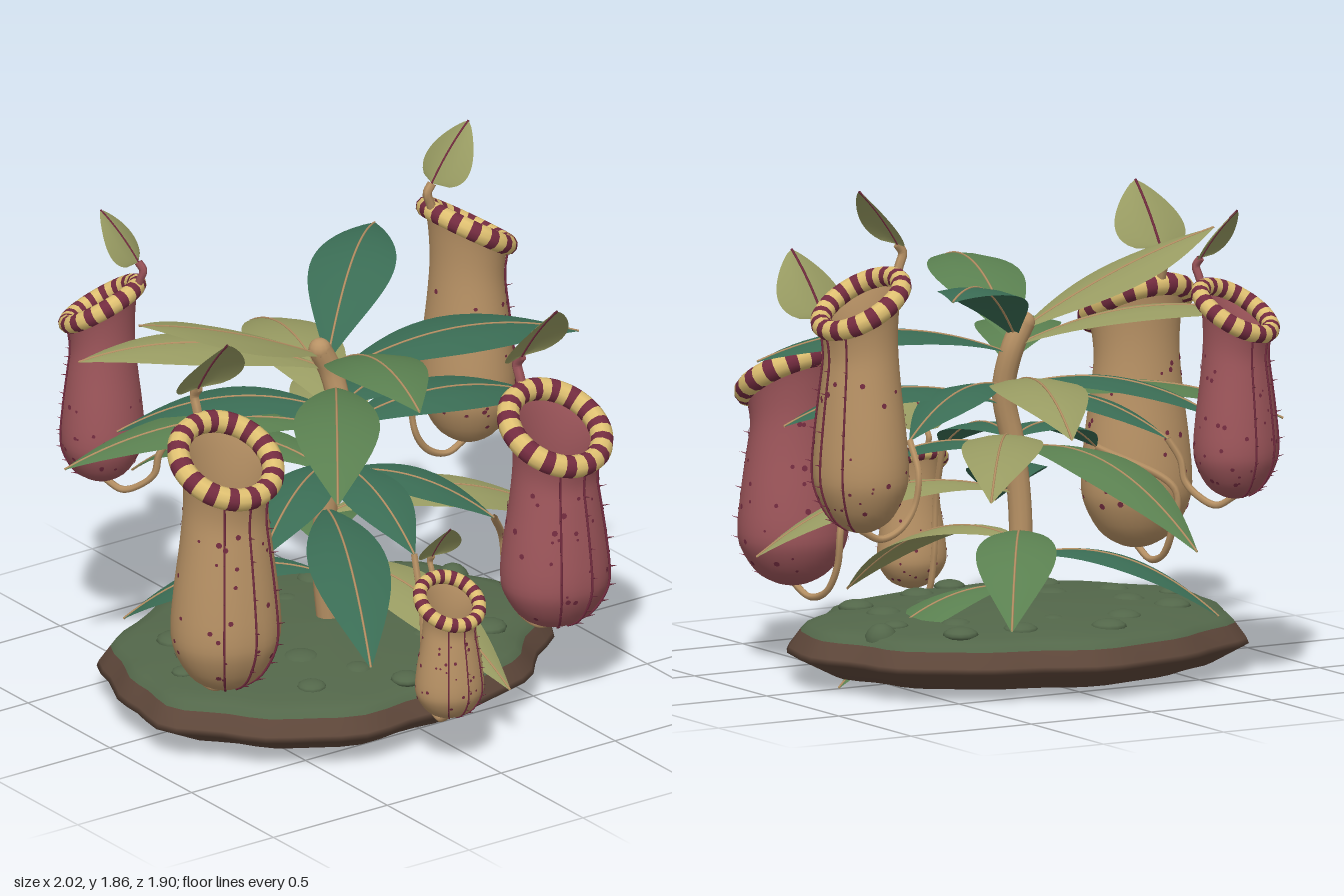
import * as THREE from 'three';
import { mergeGeometries } from 'three/addons/utils/BufferGeometryUtils.js';

const V = (x, y, z) => new THREE.Vector3(x, y, z);
const makeMat = (name, color) => {
  const m = new THREE.MeshStandardMaterial({ color, side: THREE.DoubleSide });
  m.name = name;
  return m;
};
const M = {
  tan: makeMat('tan', 0xb89265), red: makeMat('dusty red', 0x9e565b),
  cream: makeMat('cream', 0xdfc071), maroon: makeMat('maroon', 0x742c40),
  olive: makeMat('olive', 0x989b62), green: makeMat('leaf green', 0x5a8050),
  teal: makeMat('deep green', 0x3a6c54), moss: makeMat('moss', 0x53674a),
  soil: makeMat('soil', 0x5e473a),
};

let seed = 7;
const rand = () => (seed = (seed * 16807) % 2147483647) / 2147483647;

function add(parent, name, geo, mat) {
  const mesh = new THREE.Mesh(geo, mat);
  mesh.name = name;
  parent.add(mesh);
  return mesh;
}
const tube = (pts, r, n = 24) =>
  new THREE.TubeGeometry(new THREE.CatmullRomCurve3(pts), n, r, 6);

// Leaf blade: cross-sections along a curve, edges drooping a little
function blade(curve, width, droop) {
  const pos = [], idx = [], n = 18, m = 4;
  for (let i = 0; i <= n; i++) {
    const t = i / n, p = curve.getPoint(t), tan = curve.getTangent(t);
    const side = tan.clone().cross(V(0, 1, 0)).normalize();
    const up = side.clone().cross(tan);
    for (let j = 0; j <= m; j++) {
      const s = (j / m) * 2 - 1, w = width(t);
      const q = p.clone().addScaledVector(side, s * w).addScaledVector(up, -droop * s * s * w);
      pos.push(q.x, q.y, q.z);
      if (i < n && j < m) {
        const a = i * (m + 1) + j, b = a + m + 1;
        idx.push(a, a + 1, b, b, a + 1, b + 1);
      }
    }
  }
  const g = new THREE.BufferGeometry();
  g.setAttribute('position', new THREE.Float32BufferAttribute(pos, 3));
  g.setIndex(idx);
  g.computeVertexNormals();
  return g;
}

// Mossy mound with an uneven outline
function makeMound(root) {
  const uneven = (profile) => {
    const g = new THREE.LatheGeometry(profile.map(([r, y]) => new THREE.Vector2(r, y)), 56);
    const p = g.attributes.position;
    for (let i = 0; i < p.count; i++) {
      const x = p.getX(i), z = p.getZ(i), a = Math.atan2(z, x);
      const k = 1 + 0.02 * Math.sin(3 * a + 1) + 0.022 * Math.sin(7 * a) + 0.016 * Math.sin(13 * a + 2);
      p.setX(i, x * 0.85 * k - 0.055);
      p.setZ(i, z * 0.68 * k);
    }
    g.computeVertexNormals();
    return g;
  };
  add(root, 'soil', uneven([[0, 0.025], [0.8, 0.025], [0.84, 0.03], [1, 0.1], [0.99, 0.12], [0.94, 0.175]]), M.soil);
  add(root, 'mossTop', uneven([[0.94, 0.175], [0.91, 0.2], [0.83, 0.218], [0.5, 0.235], [0, 0.25]]), M.moss);
  for (let i = 0; i < 20; i++) {
    const a = i * 2.4, r = 0.25 + 0.55 * Math.sqrt(i / 20), s = 0.04 + 0.035 * rand();
    const tuft = add(root, 'mossTuft', new THREE.SphereGeometry(s, 12, 8), M.moss);
    tuft.position.set(Math.cos(a) * r * 0.85 - 0.05, 0.222, Math.sin(a) * r * 0.68);
    tuft.scale.y = 0.42;
  }
  add(root, 'mossBall', new THREE.SphereGeometry(0.06, 14, 10), M.moss).position.set(0.62, 0.19, -0.16);
}

const stem = new THREE.CatmullRomCurve3([V(0, 0.18, -0.05), V(-0.03, 0.5, -0.045), V(-0.01, 0.8, -0.035),
  V(0.035, 1.02, -0.035), V(0.02, 1.18, -0.07), V(-0.02, 1.27, -0.08)]);

// Arching leaf from the stem at height y0 to its tip
function makeLeaf(root, tip, y0, arch, mat, half) {
  const p0 = stem.getPoint(THREE.MathUtils.clamp((y0 - 0.18) / 1.09, 0, 1));
  const mid = p0.clone().lerp(tip, 0.5);
  mid.y += arch;
  const curve = new THREE.QuadraticBezierCurve3(p0, mid, tip);
  const leaf = new THREE.Group();
  leaf.name = 'leaf';
  add(leaf, 'leafBlade', blade(curve, (t) => 0.004 + half * Math.sin(Math.PI * Math.pow(t, 1.05)), 0.16), mat);
  add(leaf, 'midrib', new THREE.TubeGeometry(curve, 20, 0.0045, 5), M.tan);
  root.add(leaf);
}

// Hanging pitcher standing on its lowest point, mouth facing local +z
function makePitcher(root, { at, r, h, yaw, mat, leafTip }) {
  const g = new THREE.Group();
  g.name = 'pitcher';
  g.position.copy(at);
  g.rotation.y = yaw;
  root.add(g);
  const tilt = 0.55, R = 0.87 * r;
  const profile = new THREE.SplineCurve([[0, 0], [0.3, 0.015], [0.66, 0.07], [0.93, 0.18], [1, 0.28],
    [0.94, 0.45], [0.83, 0.65], [0.77, 0.8], [0.8, 0.92], [0.87, 1]]
    .map(([a, b]) => new THREE.Vector2(a * r, b * h)));
  // lean the upper body toward the tilted mouth
  const bend = (p) => {
    const b = THREE.MathUtils.smoothstep(p.y / h, 0.6, 1);
    return V(p.x, p.y - p.z * Math.sin(tilt) * b, p.z * 0.9);
  };
  const onBody = (t, a, out = 0) => {
    const q = profile.getPoint(t);
    return bend(V((q.x + out) * Math.sin(a), q.y, (q.x + out) * Math.cos(a)));
  };

  const body = new THREE.LatheGeometry(profile.getPoints(30), 32);
  const p = body.attributes.position;
  for (let i = 0; i < p.count; i++) {
    const q = bend(V(p.getX(i), p.getY(i), p.getZ(i)));
    p.setXYZ(i, q.x, q.y, q.z);
  }
  body.computeVertexNormals();
  add(g, 'pitcherBody', body, mat);

  // striped rim, cream bands a little wider than the maroon ones
  const pairs = 15, step = (Math.PI * 2) / pairs;
  const bands = (start, share) => mergeGeometries(Array.from({ length: pairs }, (_, i) =>
    new THREE.TorusGeometry(R, 0.2 * r, 10, 3, step * share)
      .rotateZ((i + start) * step).rotateX(Math.PI / 2 + tilt).translate(0, h, 0)));
  add(g, 'rimCream', bands(0, 0.54), M.cream);
  add(g, 'rimMaroon', bands(0.54, 0.46), M.maroon);

  // front ribs with bristles, then scattered spots
  const marks = [];
  for (const a of [-0.6, 0, 0.6]) {
    const pts = [];
    for (let i = 0; i <= 14; i++) pts.push(onBody(0.12 + 0.82 * (i / 14), a, 0.022 * r));
    marks.push(tube(pts, 0.022 * r, 28));
    for (let i = 0; i < 7; i++) {
      const t = 0.2 + i * 0.09, dir = V(Math.sin(a), 0.25, Math.cos(a)).normalize();
      marks.push(new THREE.ConeGeometry(0.02 * r, 0.18 * r, 4)
        .applyQuaternion(new THREE.Quaternion().setFromUnitVectors(V(0, 1, 0), dir))
        .translate(...onBody(t, a, 0.09 * r).toArray()));
    }
  }
  for (let i = 0; i < 56; i++) {
    const t = 0.25 + 0.5 * rand(), a = rand() * Math.PI * 2, d = profile.getTangent(t);
    const n = V(d.y * Math.sin(a), -d.x, d.y * Math.cos(a)).normalize();
    marks.push(new THREE.CircleGeometry((0.025 + 0.035 * rand()) * r, 7)
      .applyQuaternion(new THREE.Quaternion().setFromUnitVectors(V(0, 0, 1), n))
      .translate(...onBody(t, a, 0.003).toArray()));
  }
  add(g, 'ribsAndSpots', mergeGeometries(marks), M.maroon);

  // lid on a curved neck behind the mouth
  const hinge = V(0, h + 1.25 * R, -0.95 * R);
  add(g, 'lidNeck', tube([V(0, h + 0.45 * R, -0.88 * R), V(0, h + 0.8 * R, -1.0 * R),
    V(0, h + 1.05 * R, -1.08 * R), hinge], 0.09 * r, 12), mat);
  const spine = new THREE.QuadraticBezierCurve3(hinge, V(0, h + 2.0 * R, -0.5 * R), V(0, h + 2.52 * R, 0.05 * R));
  add(g, 'lid', blade(spine, (t) => 0.8 * R * Math.pow(Math.abs(Math.sin(Math.PI * Math.pow(t, 0.6))), 0.75), 0.2), M.olive);
  add(g, 'lidRib', new THREE.TubeGeometry(spine, 10, 0.024 * r, 5), M.maroon);

  // tendril looping from the leaf tip behind and under the pitcher
  const back = V(-Math.sin(yaw), 0, -Math.cos(yaw));
  const reach = (d, up) => at.clone().addScaledVector(back, d * r).setY(at.y + up);
  const drop = leafTip.y - at.y;
  add(root, 'tendril', tube([leafTip, reach(1.3, drop * 0.62), reach(1.2, drop * 0.25),
    reach(0.9, 0.0), reach(0.45, -0.03), at.clone().setY(at.y + 0.01)], 0.013, 40), M.tan);
}

export function createModel() {
  const root = new THREE.Group();
  root.name = 'pitcherPlant';
  makeMound(root);
  add(root, 'stem', new THREE.TubeGeometry(stem, 40, 0.042, 12), M.tan);
  add(root, 'stemTip', new THREE.SphereGeometry(0.042, 12, 8), M.tan).position.copy(stem.getPoint(1));

  // tip x, y, z, height on stem, arch, colour, half width
  const leaves = [
    [-0.22, 0.55, -0.95, 0.62, 0.28, M.green, 0.15],
    [0.3, 1.0, -0.95, 0.82, 0.26, M.olive, 0.16],
    [0.57, 0.78, -0.84, 0.62, 0.27, M.olive, 0.14],
    [0.55, 1.46, -0.54, 1.13, 0.22, M.teal, 0.15],
    [0.95, 1.18, 0.15, 1.02, 0.2, M.teal, 0.17],
    [0.85, 0.94, 0.13, 0.78, 0.2, M.teal, 0.16],
    [0.91, 0.46, 0.22, 0.5, 0.28, M.olive, 0.16],
    [0.19, 0.2, 0.79, 0.38, 0.26, M.olive, 0.15],
    [-0.2, 1.37, 0.78, 1.08, 0.24, M.green, 0.16],
    [-0.53, 1.08, 0.74, 0.96, 0.22, M.green, 0.15],
    [-0.45, 0.46, 0.83, 0.52, 0.23, M.teal, 0.14],
    [-0.8, 1.55, -0.1, 1.2, 0.06, M.olive, 0.16],
    [-0.8, 1.28, -0.47, 1.06, 0.18, M.olive, 0.15],
    [-0.89, 0.9, -0.43, 0.78, 0.22, M.green, 0.14],
    [-0.58, 0.93, -0.54, 0.84, 0.2, M.teal, 0.14],
    [-0.58, 0.22, -0.5, 0.34, 0.22, M.teal, 0.13],
    [0.4, 0.28, -0.7, 0.4, 0.25, M.green, 0.14],
    [0.7, 0.0, 0.0, 0.27, 0.22, M.green, 0.14],
  ];
  for (const [x, y, z, y0, arch, mat, half] of leaves) makeLeaf(root, V(x, y, z), y0, arch, mat, half);

  // each pitcher hangs from a leaf of its own
  const pitchers = [
    { at: V(-0.785, 0.32, 0.41), r: 0.205, h: 0.88, yaw: 0, mat: M.tan, leafTip: V(-0.55, 0.72, 0.3) },
    { at: V(0.56, 0.28, 0.55), r: 0.207, h: 0.76, yaw: 0.15, mat: M.red, leafTip: V(0.4, 0.68, 0.4) },
    { at: V(0.815, 0.62, -0.345), r: 0.185, h: 0.83, yaw: Math.PI / 2, mat: M.tan, leafTip: V(0.56, 0.92, -0.26) },
    { at: V(-0.53, 0.68, -0.7), r: 0.165, h: 0.68, yaw: Math.atan2(-0.57, -0.82), mat: M.red, leafTip: V(-0.37, 0.88, -0.5) },
    { at: V(-0.09, 0.175, 0.81), r: 0.128, h: 0.445, yaw: 0, mat: M.tan, leafTip: V(-0.08, 0.72, 0.58) },
  ];
  for (const p of pitchers) {
    makeLeaf(root, p.leafTip, p.leafTip.y - 0.06, 0.15, M.teal, 0.12);
    makePitcher(root, p);
  }
  return root;
}
